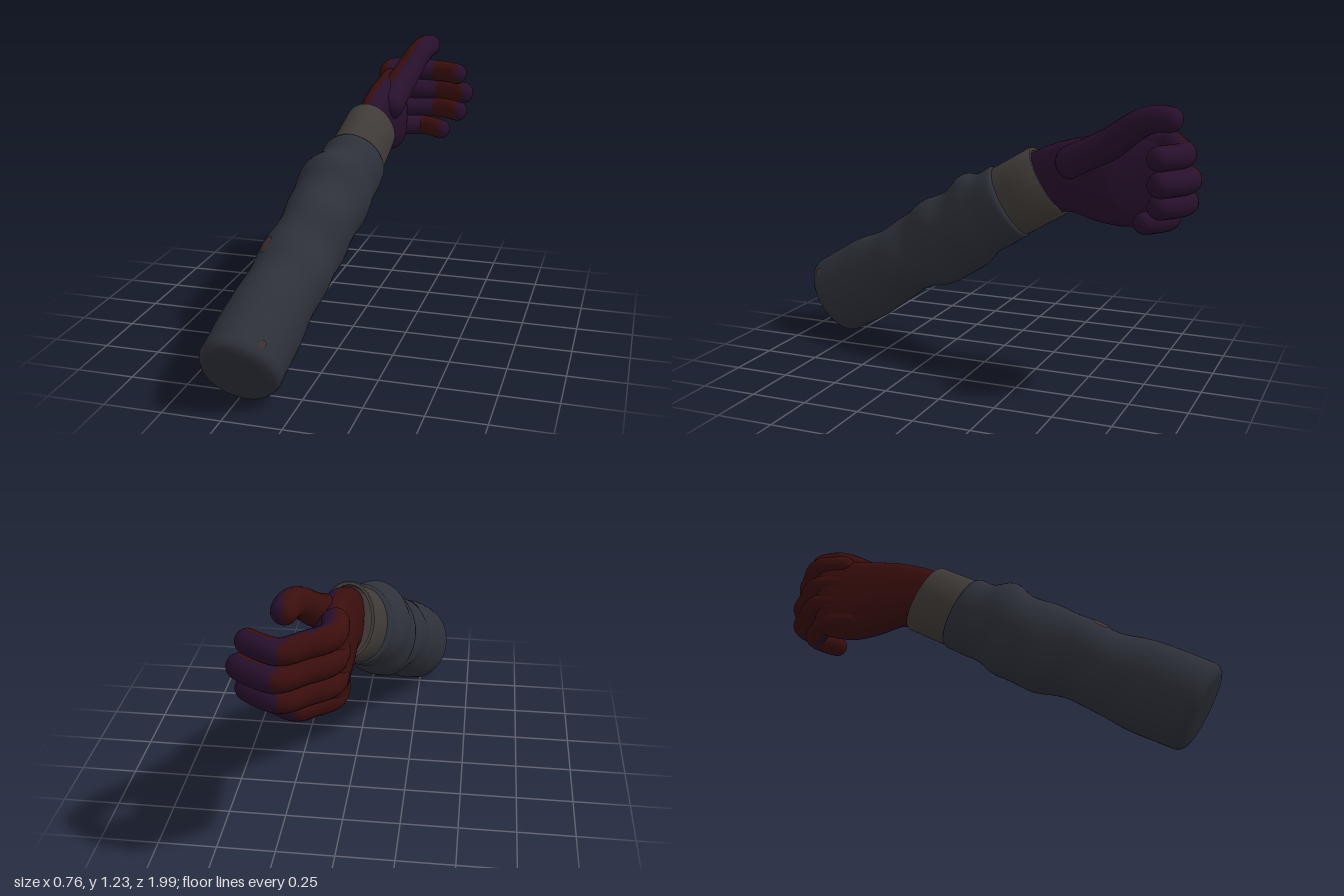
import * as THREE from 'three';
import { mergeVertices, toCreasedNormals } from 'three/addons/utils/BufferGeometryUtils.js';

const V = (x, y, z) => new THREE.Vector3(x, y, z);

const flat = (name, color, side = THREE.FrontSide) => {
  const m = new THREE.MeshStandardMaterial({ color, side });
  m.name = name;
  return m;
};

// Weld seams and compute smooth normals
function smooth(geo) {
  geo.deleteAttribute('uv');
  geo.deleteAttribute('normal');
  const g = mergeVertices(geo, 1e-5);
  g.computeVertexNormals();
  return g;
}

// Skin a list of rings, each a closed loop of points
function loft(rings) {
  const n = rings[0].length, index = [];
  for (let i = 0; i < rings.length - 1; i++) {
    for (let j = 0; j < n; j++) {
      const k = (j + 1) % n;
      const a = i * n + j, b = i * n + k, c = a + n, d = b + n;
      index.push(a, c, b, b, c, d);
    }
  }
  const g = new THREE.BufferGeometry().setFromPoints(rings.flat());
  g.setIndex(index);
  return smooth(g);
}

// Sort faces into two material groups: outer side (-x) and palm side (+x)
function twoTone(geo) {
  const p = geo.attributes.position, idx = geo.index.array, sides = [[], []];
  const [a, b, c] = [V(), V(), V()];
  for (let i = 0; i < idx.length; i += 3) {
    a.fromBufferAttribute(p, idx[i]);
    b.fromBufferAttribute(p, idx[i + 1]).sub(a);
    c.fromBufferAttribute(p, idx[i + 2]).sub(a);
    sides[b.cross(c).x > 0 ? 1 : 0].push(idx[i], idx[i + 1], idx[i + 2]);
  }
  geo.setIndex([...sides[0], ...sides[1]]);
  geo.addGroup(0, sides[0].length, 0);
  geo.addGroup(sides[0].length, sides[1].length, 1);
  return geo;
}

// Point on the forearm at distance s along its axis, from a section [x, halfWidth, top, bottom]
function armPoint(s, a, [x, w, top, bottom], bulge = 0) {
  const c = Math.cos(a), q = Math.sin(a);
  const h = q * ((q > 0 ? top : bottom) + bulge);
  return V(x + c * (w + bulge), 0.165 + 0.51 * s + 0.86 * h, 0.9 - 0.86 * s + 0.51 * h);
}

const SIDES = 48;
const armRing = (s, section, fold = () => 0) =>
  Array.from({ length: SIDES }, (_, j) => {
    const a = (j / SIDES) * Math.PI * 2;
    return armPoint(s, a, section, fold(s, a));
  });

// Sleeve sections: x centre, half width, height above and below the axis
const sleeveS = [0.03, 0.23, 0.45, 0.6, 0.75, 0.9, 1.0, 1.09, 1.17];
const sleeveSections = [
  -0.213, 0.167, 0.193, 0.197,
  -0.185, 0.165, 0.194, 0.2,
  -0.15, 0.16, 0.175, 0.182,
  -0.125, 0.158, 0.177, 0.183,
  -0.1, 0.157, 0.19, 0.211,
  -0.082, 0.158, 0.192, 0.205,
  -0.068, 0.163, 0.206, 0.178,
  -0.04, 0.152, 0.178, 0.17,
  -0.03, 0.143, 0.177, 0.172,
];
const sleeveCurve = new THREE.CubicInterpolant(sleeveS, sleeveSections, 4, new Float32Array(4));
const sleeveAt = (s) => Array.from(sleeveCurve.evaluate(s));

// Soft diagonal cloth folds, fading out at both ends
const fold = (s, a) =>
  Math.min(1, Math.max(0, (s - 0.1) * 2)) * Math.min(1, Math.max(0, (1.17 - s) * 8)) *
  (0.005 * Math.sin(16 * s + 2 * a) + 0.004 * Math.sin(27 * s - a + 1));

function sleeveGeometry() {
  const rings = [
    armRing(-0.012, [-0.215, 0, 0, 0]),
    armRing(-0.01, [-0.215, 0.125, 0.15, 0.15]),
    armRing(-0.002, [-0.215, 0.148, 0.174, 0.174]),
    armRing(0.012, [-0.214, 0.161, 0.187, 0.189]),
  ];
  for (let i = 0; i <= 70; i++) {
    const s = 0.03 + (1.14 * i) / 70;
    rings.push(armRing(s, sleeveAt(s), fold));
  }
  rings.push(armRing(1.185, [-0.029, 0.136, 0.17, 0.166]));
  rings.push(armRing(1.185, [-0.029, 0.11, 0.15, 0.15]));
  return loft(rings);
}

// Small disc that hugs the sleeve surface
function spotGeometry(s, a, rs, ra) {
  const g = new THREE.CircleGeometry(1, 20), p = g.attributes.position;
  for (let i = 0; i < p.count; i++) {
    const si = s + p.getY(i) * rs, ai = a + p.getX(i) * ra;
    const q = armPoint(si, ai, sleeveAt(Math.max(0.03, si)), fold(si, ai) + 0.004);
    p.setXYZ(i, q.x, q.y, q.z);
  }
  g.computeVertexNormals();
  return g;
}

// Palm sections: top [y, z], bottom [y, z], x centre, half thickness
function palmGeometry() {
  const rows = [
    [0.98, -0.2, 0.74, -0.34, 0.005, 0.07],
    [1.03, -0.3, 0.75, -0.42, 0.008, 0.07],
    [1.07, -0.42, 0.725, -0.52, 0.018, 0.08],
    [1.09, -0.55, 0.71, -0.63, 0.022, 0.083],
    [1.1, -0.7, 0.715, -0.72, 0.008, 0.07],
    [1.1, -0.79, 0.735, -0.78, 0, 0.058],
    [1.06, -0.84, 0.79, -0.82, 0.008, 0.03],
  ];
  const curve = new THREE.CubicInterpolant(rows.map((_, i) => i), rows.flat(), 6, new Float32Array(6));
  const rings = [];
  for (let i = 0; i <= 36; i++) {
    const [ty, tz, by, bz, x, w] = curve.evaluate(i / 6);
    rings.push(Array.from({ length: SIDES }, (_, j) => {
      const a = (j / SIDES) * Math.PI * 2, c = Math.cos(a), q = Math.sin(a);
      const h = 0.5 + 0.5 * Math.sign(q) * Math.abs(q) ** 0.85;
      return V(x + w * Math.sign(c) * Math.abs(c) ** 0.75, by + (ty - by) * h, bz + (tz - bz) * h);
    }));
  }
  const centre = V(0.01, 0.925, -0.85);
  rings.push(rings[0].map(() => centre));
  return loft(rings);
}

// Round-ended digit: a tube whose radius runs from r0 to r1
function digitGeometry(points, r0, r1) {
  const curve = new THREE.CatmullRomCurve3(points.map((p) => V(...p)), false, 'centripetal');
  const N = 64, M = 20, g = new THREE.TubeGeometry(curve, N, 1, M), p = g.attributes.position;
  const length = curve.getLength(), q = V();
  for (let i = 0; i <= N; i++) {
    const t = i / N, c = curve.getPointAt(t);
    let r = r0 + (r1 - r0) * t;
    const d = Math.min(t, 1 - t) * length;
    if (d < r) r *= Math.sqrt(Math.max(0, 1 - (1 - d / r) ** 2));
    for (let j = 0; j <= M; j++) {
      const k = i * (M + 1) + j;
      q.fromBufferAttribute(p, k).sub(c).multiplyScalar(r).add(c);
      p.setXYZ(k, q.x, q.y, q.z);
    }
  }
  return smooth(g);
}

export function createModel() {
  const sleeveMat = flat('slate cloth', 0x2e313a);
  const cuffMat = flat('grey brown cuff', 0x403b38);
  const spotMat = flat('brown spot', 0x3c3230, THREE.DoubleSide);
  const handMats = [flat('dark red', 0x3a0e0d), flat('dark purple', 0x27102c)];

  const model = new THREE.Group();
  model.name = 'arm';
  const hand = new THREE.Group();
  hand.name = 'hand';
  const add = (parent, name, geo, mat) => {
    const m = new THREE.Mesh(geo, mat);
    m.name = name;
    parent.add(m);
  };

  // Sleeve with two worn spots
  add(model, 'sleeve', sleeveGeometry(), sleeveMat);
  add(model, 'upperSpot', spotGeometry(0.536, 2.16, 0.04, 0.17), spotMat);
  add(model, 'endSpot', spotGeometry(0.055, 0.85, 0.018, 0.09), spotMat);

  // Cuff with a rim around the wrist
  const cuff = loft([
    armRing(1.12, [-0.035, 0.125, 0.165, 0.165]),
    armRing(1.26, [-0.016, 0.121, 0.165, 0.165]),
    armRing(1.388, [0, 0.116, 0.165, 0.165]),
    armRing(1.396, [0, 0.111, 0.16, 0.16]),
    armRing(1.396, [0, 0.098, 0.148, 0.148]),
    armRing(1.35, [0, 0.096, 0.146, 0.146]),
    armRing(1.35, [0, 0, 0, 0]),
  ]);
  add(model, 'cuff', toCreasedNormals(cuff, 0.9), cuffMat);

  // Palm, thumb and curled fingers
  add(hand, 'palm', twoTone(palmGeometry()), handMats);
  add(hand, 'thumb', twoTone(digitGeometry([
    [0.04, 0.94, -0.36], [0.06, 1.0, -0.48], [0.09, 1.075, -0.61],
    [0.13, 1.165, -0.74], [0.15, 1.187, -0.82], [0.16, 1.178, -0.912],
  ], 0.08, 0.05)), handMats);

  // Finger: name, height at knuckle and tip, bend x and z, tip x and z, radius
  const fingers = [
    ['indexFinger', 1.07, 1.05, 0.165, -0.918, 0.335, -0.82, 0.052],
    ['middleFinger', 0.97, 0.953, 0.18, -0.945, 0.368, -0.835, 0.054],
    ['ringFinger', 0.875, 0.86, 0.165, -0.935, 0.34, -0.83, 0.052],
    ['littleFinger', 0.785, 0.778, 0.12, -0.858, 0.268, -0.755, 0.048],
  ];
  for (const [name, y0, y1, bx, bz, tx, tz, r] of fingers) {
    const kz = name === 'littleFinger' ? -0.765 : -0.815;
    add(hand, name, twoTone(digitGeometry([
      [0.0, y0, kz + 0.17], [-0.004, y0, kz], [bx * 0.5, (y0 + y1) / 2, (kz + bz) / 2 - 0.008],
      [bx, y1, bz], [bx + (tx - bx) * 0.5, y1, bz + (tz - bz) * 0.32], [tx, y1, tz],
    ], r + 0.003, r - 0.002)), handMats);
  }
  model.add(hand);
  return model;
}
